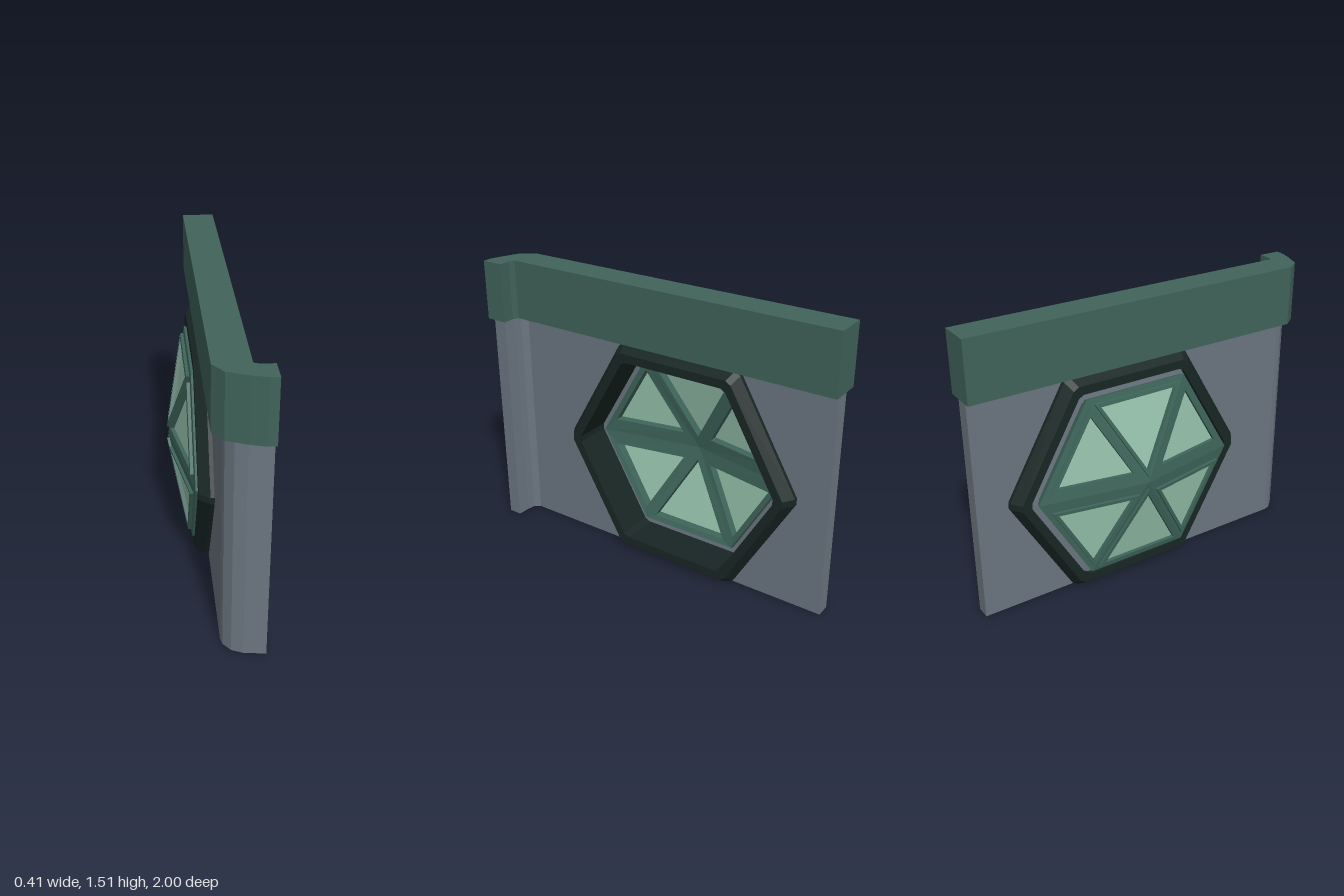
import * as THREE from 'three';

const CZ = -0.145, CY = 0.595; // window centre on the wall
const mat = (color) => new THREE.MeshStandardMaterial({ color, flatShading: true, side: THREE.DoubleSide });
const WALL = mat(0x6b7680), TRIM = mat(0x40635a), DARK = mat(0x182624), SASH = mat(0x3f665b), PANE = mat(0x96c2ac);

function mesh(name, geometry, material) {
  const m = new THREE.Mesh(geometry, material);
  m.name = name;
  return m;
}

// Joins equal-length rings of [x, y, z] points into a surface
function loft(rings, closed) {
  const pos = [];
  const n = rings[0].length;
  const last = closed ? rings.length : rings.length - 1;
  for (let i = 0; i < last; i++) {
    const a = rings[i], b = rings[(i + 1) % rings.length];
    for (let j = 0; j < n; j++) {
      const k = (j + 1) % n;
      pos.push(...a[j], ...a[k], ...b[k], ...a[j], ...b[k], ...b[j]);
    }
  }
  return fromPositions(pos);
}

function fromPositions(pos) {
  const g = new THREE.BufferGeometry();
  g.setAttribute('position', new THREE.Float32BufferAttribute(pos, 3));
  g.computeVertexNormals();
  return g;
}

// Hexagon with clipped corners, in the wall plane
function hexRing(apothem, x) {
  const pts = [];
  const h = apothem * Math.tan(Math.PI / 6) * 0.94;
  for (let i = 0; i < 6; i++) {
    const t = Math.PI / 6 + i * Math.PI / 3, c = Math.cos(t), s = Math.sin(t);
    for (const e of [-h, h]) pts.push([x, CY + apothem * s + e * c, CZ + apothem * c - e * s]);
  }
  return pts;
}

// Extrudes a plan outline of [x, z] points upward
function planExtrude(points, y, height) {
  const shape = new THREE.Shape(points.map(([x, z]) => new THREE.Vector2(x, -z)));
  return new THREE.ExtrudeGeometry(shape, { depth: height, bevelEnabled: false })
    .rotateX(-Math.PI / 2).translate(0, y, 0);
}

// Wall panel with the window opening
function wallPanel() {
  const s = new THREE.Shape([[-0.84, 0], [0.99, 0], [0.99, 1.19], [-0.84, 1.19]].map((p) => new THREE.Vector2(...p)));
  s.holes.push(new THREE.Path(hexRing(0.54, 0).map((p) => new THREE.Vector2(-p[2], p[1])).reverse()));
  return new THREE.ExtrudeGeometry(s, { depth: 0.075, bevelEnabled: false }).rotateY(Math.PI / 2);
}

// Moves each edge of a triangle inward by its own distance
function insetTriangle(tri, d) {
  const lines = tri.map((p, i) => {
    const q = tri[(i + 1) % 3];
    const l = Math.hypot(q[0] - p[0], q[1] - p[1]);
    const n = [-(q[1] - p[1]) / l, (q[0] - p[0]) / l];
    return [...n, n[0] * p[0] + n[1] * p[1] + d[i]];
  });
  return tri.map((_, i) => {
    const [a, b, e] = lines[(i + 2) % 3], [c, f, g] = lines[i];
    const det = a * f - b * c;
    return [(e * f - b * g) / det, (a * g - e * c) / det];
  });
}

// One of the six sloping sectors of the window: bars, raised lip, pane
function sector(i) {
  const R = 0.57, apo = R * Math.cos(Math.PI / 6);
  const corner = (k) => [R * Math.cos(k * Math.PI / 3), R * Math.sin(k * Math.PI / 3)];
  const tri = [[0, 0], corner(i), corner(i + 1)];
  const mid = (i + 0.5) * Math.PI / 3;
  const bar = (k) => (k % 3 === 0 ? 0.075 : 0.035);
  const inset = [bar(i), 0.045, bar(i + 1)];
  const place = (pts, lift, scale = 1) => pts.map(([u, v]) => {
    const r = u * Math.cos(mid) + v * Math.sin(mid);
    return [-0.192 + 0.107 * r / apo + lift, 0.59 + v * scale, -0.132 + u * scale];
  });
  const hole = insetTriangle(tri, inset);
  const lip = insetTriangle(tri, inset.map((d) => d - 0.018));
  const g = new THREE.Group();
  g.name = 'windowSector';
  g.add(mesh('sashBars', loft([
    place(tri, 0), place(lip, 0), place(lip, -0.016), place(hole, -0.016),
    place(hole, 0.05), place(tri, 0.05, 0.965),
  ], true), SASH));
  g.add(mesh('pane', fromPositions(place(hole, 0.005).flat()), PANE));
  return g;
}

export function createModel() {
  const model = new THREE.Group();
  model.name = 'wallSection';

  // Wall with its curved return at the front end
  model.add(mesh('wallPanel', wallPanel(), WALL));
  model.add(mesh('wallReturn', planExtrude([
    [0, 0.84], [0.008, 0.875], [0.045, 0.92], [0.1, 0.943], [0.21, 0.957],
    [0.21, 0.885], [0.14, 0.88], [0.1, 0.872], [0.075, 0.84],
  ], 0, 1.19), WALL));

  // Deep trim beam following the same plan
  model.add(mesh('topBeam', planExtrude([
    [-0.05, -1], [-0.05, 0.87], [0, 0.94], [0.1, 0.98], [0.17, 1], [0.213, 1],
    [0.213, 0.883], [0.15, 0.883], [0.12, 0.87], [0.12, -1],
  ], 1.19, 0.318), TRIM));

  // Chamfered hexagonal surround
  const profile = [[0.515, -0.075], [0.56, -0.075], [0.595, -0.02], [0.595, 0.095], [0.56, 0.15], [0.515, 0.15]];
  model.add(mesh('windowSurround', loft(profile.map(([a, x]) => hexRing(a, x)).reverse(), true), DARK));
  model.add(mesh('windowLiner', loft([hexRing(0.475, -0.055), hexRing(0.52, -0.05)], false), WALL));

  // Faceted window bulging outward
  const window = new THREE.Group();
  window.name = 'facetedWindow';
  for (let i = 0; i < 6; i++) window.add(sector(i));
  model.add(window);
  return model;
}
